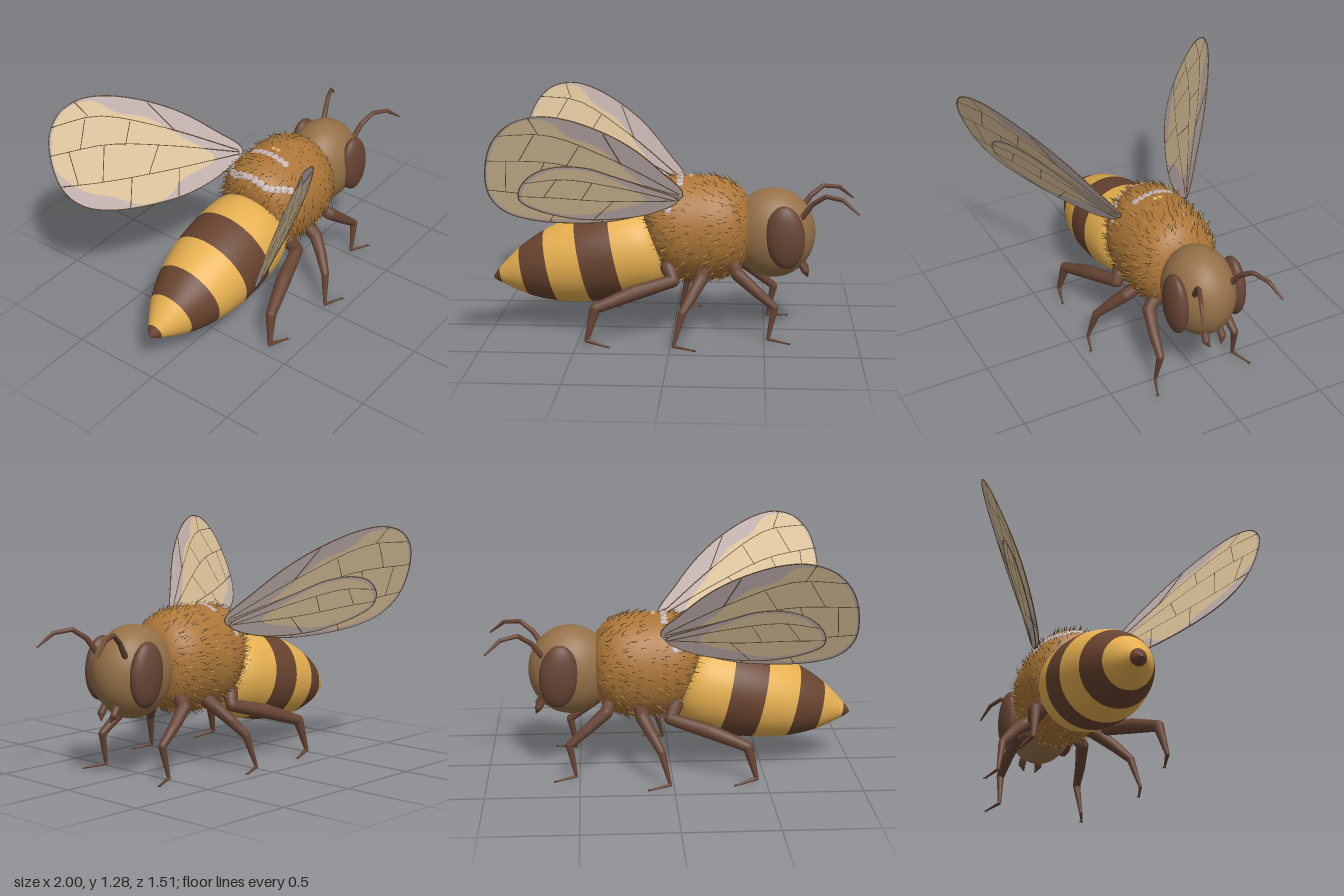
import * as THREE from 'three';
import { mergeGeometries } from 'three/addons/utils/BufferGeometryUtils.js';

const mat = (name, color, side = THREE.FrontSide) => {
  const m = new THREE.MeshStandardMaterial({ color, side });
  m.name = name;
  return m;
};
const V = (x, y, z) => new THREE.Vector3(x, y, z);
const UP = V(0, 1, 0);
const turn = (dir) => new THREE.Quaternion().setFromUnitVectors(UP, dir.clone().normalize());

export function createModel() {
  const M = {
    yellow: mat('abdomen yellow', 0xe6b050),
    stripe: mat('stripe brown', 0x68432f),
    thorax: mat('thorax amber', 0xac7638),
    head: mat('head tan', 0x957148),
    limb: mat('limb brown', 0x664434),
    hair: mat('dark hair', 0x4a351c),
    gold: mat('gold hair', 0xdcb060),
    vein: mat('wing vein', 0x5c4a32),
    membrane: mat('wing lavender', 0xc4b3b1, THREE.DoubleSide),
    patch: mat('wing tan', 0xdfc69d, THREE.DoubleSide),
  };
  const model = new THREE.Group();
  model.name = 'bee';
  const add = (parent, name, geo, material) => {
    const m = new THREE.Mesh(geo, material);
    m.name = name;
    parent.add(m);
  };
  const group = (name) => {
    const g = new THREE.Group();
    g.name = name;
    model.add(g);
    return g;
  };
  const ellipsoid = (name, c, r, material, rotZ = 0) =>
    add(model, name, new THREE.SphereGeometry(1, 40, 28).scale(...r).rotateZ(rotZ).translate(...c), material);
  // Tapered rod from a to b
  const rodGeo = (a, b, ra, rb, sides = 12) => {
    const d = b.clone().sub(a);
    return new THREE.CylinderGeometry(rb, ra, d.length(), sides)
      .applyQuaternion(turn(d))
      .translate(...a.clone().add(b).multiplyScalar(0.5).toArray());
  };
  // Chain of tapered rods with ball joints; nodes are [x, y, z, radius]
  const chainGeo = (nodes, side) => {
    const geos = [];
    const pts = nodes.map(([x, y, z]) => V(x, y, z * side));
    nodes.forEach((n, i) => {
      geos.push(new THREE.SphereGeometry(n[3], 12, 8).translate(...pts[i].toArray()));
      if (i) geos.push(rodGeo(pts[i - 1], pts[i], nodes[i - 1][3], n[3]));
    });
    return mergeGeometries(geos);
  };

  // Abdomen: one lathe per colour band, from the tip forward
  const abdomen = group('abdomen');
  const profile = [[0.004, 0], [0.045, 0.045], [0.136, 0.18], [0.201, 0.335], [0.241, 0.52],
    [0.25, 0.71], [0.235, 0.87], [0.18, 0.95], [0.08, 1]];
  const curve = new THREE.SplineCurve(profile.map((p) => new THREE.Vector2(...p)));
  [[0, 1], [1, 2], [2, 3], [3, 4], [4, 5], [5, 8]].forEach(([from, to], i) => {
    const pts = Array.from({ length: 8 * (to - from) + 1 }, (_, k) => curve.getPoint((from + k / 8) / 8));
    add(abdomen, 'abdomenBand' + (i + 1), new THREE.LatheGeometry(pts, 40), i % 2 ? M.yellow : M.stripe);
  });
  abdomen.rotation.z = -(Math.PI / 2 - 0.217);
  abdomen.position.set(-1, 0.28, 0);

  // Thorax: a squared-off ellipsoid whose rear face leans with the abdomen
  const thoraxPoint = (d) => {
    const s = Math.max(Math.hypot(d.y, d.z), 1e-6);
    const e = d.x > 0 ? 0.72 : 0.58;
    const t = Math.sign(d.x) * Math.pow(Math.abs(d.x), e);
    const r = Math.pow(s, e) / s;
    const y = 0.288 * r * d.y;
    return V(0.14 + 0.29 * t + Math.min(t, 0) * 0.22 * y, 0.575 + y, 0.256 * r * d.z);
  };
  const thorax = new THREE.SphereGeometry(1, 48, 40).rotateZ(Math.PI / 2);
  const tp = thorax.attributes.position;
  for (let i = 0; i < tp.count; i++) {
    tp.setXYZ(i, ...thoraxPoint(V().fromBufferAttribute(tp, i)).toArray());
  }
  thorax.computeVertexNormals();
  add(model, 'thorax', thorax, M.thorax);

  // Fur: short backswept spikes spread over the thorax
  let seed = 7;
  const rand = () => (seed = (seed * 16807) % 2147483647) / 2147483647;
  const fur = { hair: [], gold: [] };
  const COUNT = 1100;
  for (let i = 0; i < COUNT; i++) {
    const y = 1 - (2 * (i + 0.5)) / COUNT;
    const a = i * 2.39996 + rand() * 0.5;
    const r = Math.sqrt(1 - y * y);
    const d = V(r * Math.cos(a), y, r * Math.sin(a));
    const p = thoraxPoint(d);
    const dir = d.clone().multiplyScalar(0.5)
      .add(V(-0.65, (rand() - 0.6) * 0.5, (rand() - 0.5) * 0.3)).normalize();
    const tip = p.clone().addScaledVector(dir, 0.025 + rand() * 0.018);
    fur[i % 4 ? 'hair' : 'gold'].push(rodGeo(p, tip, 0.0022, 0.0004, 3));
  }
  add(model, 'darkFur', mergeGeometries(fur.hair), M.hair);
  add(model, 'goldFur', mergeGeometries(fur.gold), M.gold);

  // Pale flecks on the back: two rows across and a patch by each wing root
  const fleck = (x, a, r = 0.022) => {
    const s = Math.sqrt(1 - x * x);
    const d = V(x, s * Math.cos(a), s * Math.sin(a));
    return new THREE.SphereGeometry(1, 10, 6).scale(r, 0.005, r)
      .applyQuaternion(turn(d)).translate(...thoraxPoint(d).toArray());
  };
  const flecks = [];
  for (let i = -3; i <= 3; i++) flecks.push(fleck(-0.72, i * 0.17), fleck(-0.12, i * 0.14));
  for (const s of [-1, 1]) {
    for (const [x, a] of [[-0.66, 0.64], [-0.56, 0.74], [-0.45, 0.82], [-0.35, 0.92], [-0.3, 1.05]]) {
      flecks.push(fleck(x, s * a));
    }
  }
  add(model, 'backFlecks', mergeGeometries(flecks), M.membrane);
  add(model, 'goldFlecks', mergeGeometries([-0.06, 0.06].map((a) => fleck(-0.03, a, 0.014))), M.gold);

  // Head
  ellipsoid('head', [0.545, 0.553, 0], [0.23, 0.247, 0.19], M.head);

  // Wings lie in one sloping plane per side; outlines are given in x and y
  const wingPoint = (x, y, side, off) =>
    V(x + 0.35 * off, y - 0.39 * off, side * (0.2 - 0.41 * (x - 0.06) + 0.46 * (y - 0.79) + 0.85 * off));
  const foreOutline = [[0.06, 0.79], [-0.05, 0.94], [-0.2, 1.09], [-0.37, 1.2], [-0.53, 1.265], [-0.65, 1.28],
    [-0.77, 1.245], [-0.86, 1.15], [-0.905, 0.99], [-0.895, 0.86], [-0.83, 0.77], [-0.7, 0.71], [-0.5, 0.675],
    [-0.3, 0.67], [-0.1, 0.71]];
  const hindOutline = [[0.03, 0.77], [-0.15, 0.87], [-0.3, 0.94], [-0.43, 0.995], [-0.57, 1.01], [-0.68, 0.98],
    [-0.75, 0.91], [-0.76, 0.84], [-0.69, 0.78], [-0.5, 0.71], [-0.3, 0.69], [-0.1, 0.71]];
  const patchFront = [[-0.1, 0.8], [-0.22, 0.95], [-0.36, 1.1], [-0.5, 1.17], [-0.58, 1.25], [-0.68, 1.265],
    [-0.77, 1.235], [-0.85, 1.14], [-0.895, 0.99]];
  const lowerPatch = [...patchFront, [-0.885, 0.87], [-0.82, 0.78], [-0.7, 0.725], [-0.52, 0.7], [-0.36, 0.74]];
  const upperPatch = [...patchFront, [-0.87, 0.93], [-0.8, 0.84], [-0.69, 0.78], [-0.55, 0.69], [-0.42, 0.685],
    [-0.3, 0.75]];
  const hindPatch = [[-0.14, 0.79], [-0.3, 0.92], [-0.43, 0.98], [-0.57, 0.995], [-0.67, 0.965], [-0.735, 0.9],
    [-0.745, 0.845], [-0.68, 0.79], [-0.5, 0.73], [-0.34, 0.74]];
  const foreVeins = [
    [[0.04, 0.8], [-0.3, 1.03], [-0.6, 1.18], [-0.83, 1.19]],
    [[0.04, 0.79], [-0.3, 0.93], [-0.6, 1.03], [-0.9, 1.06]],
    [[0.04, 0.78], [-0.4, 0.82], [-0.7, 0.86], [-0.9, 0.9]],
    [[-0.25, 1], [-0.33, 1.17]], [[-0.45, 1.11], [-0.52, 1]], [[-0.64, 1.19], [-0.68, 1.28]],
    [[-0.66, 1.185], [-0.74, 1.05]], [[-0.36, 0.95], [-0.46, 0.83]], [[-0.62, 1.035], [-0.7, 0.86]],
    [[-0.8, 1.055], [-0.82, 0.88]], [[-0.55, 0.84], [-0.62, 0.69]], [[-0.3, 0.81], [-0.36, 0.67]],
  ];
  const hindVeins = [
    [[0.02, 0.77], [-0.3, 0.88], [-0.55, 0.94], [-0.73, 0.93]],
    [[0.02, 0.77], [-0.35, 0.8], [-0.6, 0.84], [-0.76, 0.86]],
    [[-0.4, 0.91], [-0.46, 0.815]], [[-0.57, 0.945], [-0.64, 0.85]], [[-0.3, 0.795], [-0.4, 0.7]],
  ];
  const sheet = (pts, side, off) => {
    const outline = new THREE.CatmullRomCurve3(pts.map(([x, y]) => V(x, y, 0)), true).getPoints(70).slice(0, -1);
    const geo = new THREE.ShapeGeometry(new THREE.Shape(outline.map((p) => new THREE.Vector2(p.x, p.y))));
    const pos = geo.attributes.position;
    for (let i = 0; i < pos.count; i++) {
      pos.setXYZ(i, ...wingPoint(pos.getX(i), pos.getY(i), side, off).toArray());
    }
    geo.computeVertexNormals();
    return geo;
  };
  const buildWing = (name, side, off, outline, upper, lower, veins) => {
    const g = group(name);
    const tube = (pts, steps, closed) => new THREE.TubeGeometry(
      new THREE.CatmullRomCurve3(pts.map(([x, y]) => wingPoint(x, y, side, off)), closed), steps, 0.0034, 5, closed);
    add(g, 'membrane', sheet(outline, side, off), M.membrane);
    add(g, 'upperTanPatch', sheet(upper, side, off - 0.002), M.patch);
    add(g, 'lowerTanPatch', sheet(lower, side, off + 0.002), M.patch);
    add(g, 'veins', mergeGeometries([tube(outline, 90, true), ...veins.map((v) => tube(v, 12, false))]), M.vein);
  };

  // Legs as hip, knee, ankle and toe nodes
  const legs = {
    FrontLeg: [[0.33, 0.41, 0.13, 0.035], [0.355, 0.36, 0.19, 0.036], [0.46, 0.27, 0.215, 0.029],
      [0.555, 0.19, 0.228, 0.021], [0.52, 0.018, 0.24, 0.009], [0.62, 0.006, 0.28, 0.005]],
    MiddleLeg: [[0.17, 0.38, 0.16, 0.038], [0.16, 0.34, 0.23, 0.037], [0.115, 0.27, 0.3, 0.031],
      [0.065, 0.19, 0.365, 0.022], [0.02, 0.018, 0.4, 0.009], [0.12, 0.006, 0.432, 0.005]],
    HindLeg: [[-0.02, 0.39, 0.17, 0.044], [0.01, 0.325, 0.21, 0.034], [-0.2, 0.27, 0.27, 0.041],
      [-0.4, 0.2, 0.335, 0.029], [-0.445, 0.03, 0.36, 0.012], [-0.34, 0.006, 0.39, 0.005]],
  };
  const antenna = [[0.69, 0.65, 0.105, 0.017], [0.75, 0.735, 0.125, 0.014], [0.82, 0.785, 0.155, 0.012],
    [0.91, 0.772, 0.195, 0.011], [0.99, 0.705, 0.23, 0.005]];
  const mandible = [[0.7, 0.385, 0.045, 0.02], [0.722, 0.35, 0.048, 0.021], [0.735, 0.316, 0.035, 0.005]];

  // Paired parts
  for (const side of [1, -1]) {
    const word = side > 0 ? 'left' : 'right';
    ellipsoid(word + 'Eye', [0.607, 0.56, side * 0.17], [0.105, 0.172, 0.055], M.limb, 0.08);
    add(model, word + 'Antenna', chainGeo(antenna, side), M.limb);
    add(model, word + 'Mandible', chainGeo(mandible, side), M.limb);
    for (const [name, nodes] of Object.entries(legs)) {
      add(model, word + name, chainGeo(nodes, side), M.limb);
      // Forked claw at the toe
      const [x, y, z] = nodes.at(-1);
      const claw = [-0.004, 0.014].map((dz) =>
        rodGeo(V(x, y, z * side), V(x + 0.02, 0.003, (z + dz) * side), 0.005, 0.002, 6));
      add(model, word + name + 'Claw', mergeGeometries(claw), M.hair);
    }
    buildWing(word + 'Forewing', side, 0, foreOutline, upperPatch, lowerPatch, foreVeins);
    buildWing(word + 'Hindwing', side, 0.014, hindOutline, hindPatch, hindPatch, hindVeins);
  }
  return model;
}
